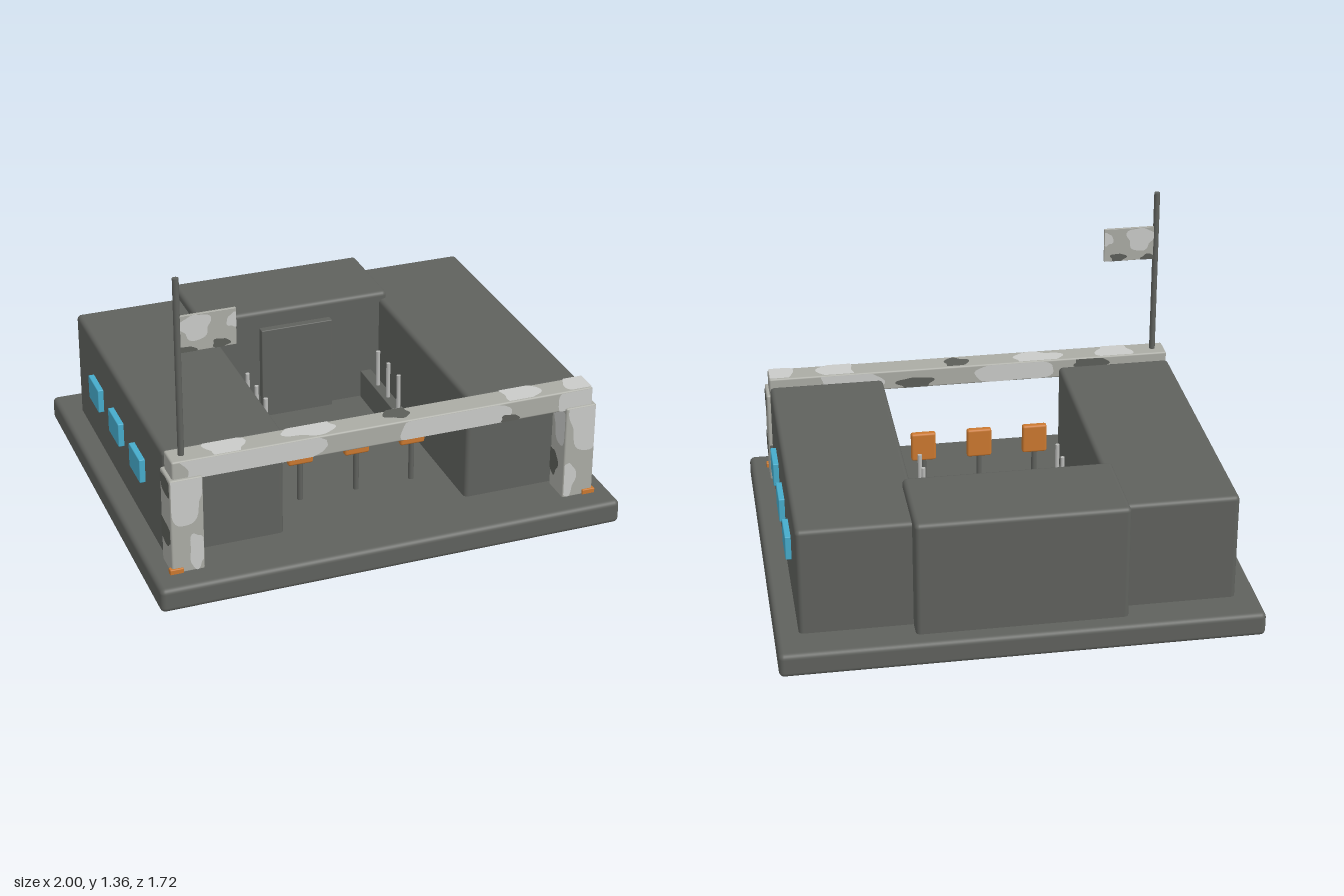
import * as THREE from 'three';
import { RoundedBoxGeometry } from 'three/addons/geometries/RoundedBoxGeometry.js';

const mat = (name, color, side = THREE.FrontSide) => {
  const m = new THREE.MeshStandardMaterial({ color, side });
  m.name = name;
  return m;
};

export function createModel() {
  const concrete = mat('dark concrete', 0x5f615d);
  const camoMid = mat('camo mid grey', 0xaaaba4);
  const camoLight = mat('camo light grey', 0xc9cac8);
  const camoDark = mat('camo dark grey', 0x5c5e59);
  const orange = mat('orange', 0xca782f);
  const blue = mat('window blue', 0x46abcb);
  const steel = mat('light steel', 0xb9bab8);

  const root = new THREE.Group();
  root.name = 'outpost';

  const add = (name, geometry, material, x, y, z, parent = root) => {
    const m = new THREE.Mesh(geometry, material);
    m.name = name;
    m.position.set(x, y, z);
    parent.add(m);
    return m;
  };
  // Rounded box given by its limits on each axis
  const block = (name, material, [x0, x1], [y0, y1], [z0, z1], r, parent = root) =>
    add(name, new RoundedBoxGeometry(x1 - x0, y1 - y0, z1 - z0, 3, r), material,
      (x0 + x1) / 2, (y0 + y1) / 2, (z0 + z1) / 2, parent);
  const rod = (name, material, r, x, y0, y1, z, parent = root) =>
    add(name, new THREE.CylinderGeometry(r, r, y1 - y0, 14), material, x, (y0 + y1) / 2, z, parent);

  // Wavy camouflage blob, clamped to the face it lies on
  const blob = (u, v, ru, rv, hw, hh, seed) => {
    const pts = [];
    for (let i = 0; i < 40; i++) {
      const a = (i / 40) * Math.PI * 2;
      const k = 1 + 0.13 * Math.sin(3 * a + seed) + 0.08 * Math.sin(5 * a + 2 * seed);
      pts.push(new THREE.Vector2(
        THREE.MathUtils.clamp(u + ru * k * Math.cos(a), -hw, hw),
        THREE.MathUtils.clamp(v + rv * k * Math.sin(a), -hh, hh)));
    }
    return new THREE.ShapeGeometry(new THREE.Shape(pts));
  };
  // Patches are [u, v, ru, rv, material] in each face's own axes
  const turns = {
    front: [0, 0], back: [0, Math.PI], right: [0, -Math.PI / 2],
    left: [0, Math.PI / 2], top: [-Math.PI / 2, 0],
  };
  const camoBox = (name, xs, ys, zs, r, patches) => {
    const g = new THREE.Group();
    g.name = name;
    root.add(g);
    const body = block(name + 'Body', camoMid, xs, ys, zs, r, g);
    const w = xs[1] - xs[0], h = ys[1] - ys[0], d = zs[1] - zs[0];
    for (const [face, list] of Object.entries(patches)) {
      const sideways = face === 'left' || face === 'right';
      const fw = sideways ? d : w, fh = face === 'top' ? d : h;
      const depth = face === 'top' ? h : sideways ? w : d;
      const holder = new THREE.Group();
      holder.name = name + 'Camo';
      holder.position.copy(body.position);
      holder.rotation.set(turns[face][0], turns[face][1], 0);
      g.add(holder);
      list.forEach(([u, v, ru, rv, m], i) =>
        add('camoPatch', blob(u, v, ru, rv, fw / 2 - r / 2, fh / 2 - r / 2, u * 9 + i), m,
          0, 0, depth / 2 + 0.0015 + i * 0.0007, holder));
    }
  };

  // Base slab and the three buildings around the yard
  block('baseSlab', concrete, [-1, 1], [0, 0.105], [-0.86, 0.86], 0.022);
  block('backBuilding', concrete, [-0.438, 0.438], [0.08, 0.61], [-0.787, -0.383], 0.02);
  block('door', concrete, [-0.165, 0.165], [0.1, 0.53], [-0.4, -0.35], 0.004);

  for (const s of [-1, 1]) {
    const range = (a, b) => (s > 0 ? [a, b] : [-b, -a]);
    block('sideBuilding', concrete, range(0.4, 0.905), [0.08, 0.577], [-0.705, 0.607], 0.02);
    for (const z of [0.27, -0.047, -0.365])
      block('window', blue, range(0.895, 0.93), [0.3, 0.407], [z - 0.078, z + 0.078], 0.004);

    // Rack with three upright rods
    block('rack', concrete, range(0.277, 0.327), [0.155, 0.285], [-0.29, 0.09], 0.003);
    for (const z of [-0.14, -0.02, 0.1]) rod('rackRod', steel, 0.009, s * 0.302, 0.16, 0.45, z);

    // Gate post and its orange foot marker
    const outer = [[0.01, 0.17, 0.08, 0.04, camoDark], [0.0, -0.05, 0.09, 0.05, camoDark]];
    const inner = [[0.02, 0.12, 0.06, 0.09, camoLight], [-0.03, -0.08, 0.04, 0.06, camoDark]];
    camoBox('gatePost', range(0.783, 0.92), [0.1, 0.525], [0.62, 0.75], 0.008, {
      front: [[s < 0 ? -0.01 : 0.03, 0.14, 0.08, 0.13, camoLight],
        [s < 0 ? 0.04 : -0.05, -0.12, 0.035, 0.08, camoLight]],
      back: [[0.02, 0.1, 0.05, 0.06, camoLight], [-0.03, -0.08, 0.05, 0.05, camoDark]],
      left: s > 0 ? outer : inner,
      right: s > 0 ? inner : outer,
    });
    block('footMarker', orange, range(0.873, 0.93), [0.1, 0.126], [0.732, 0.758], 0.004);
  }

  // Beam across the gate
  camoBox('gateBeam', [-0.905, 0.905], [0.51, 0.6], [0.63, 0.738], 0.008, {
    front: [[-0.6, 0, 0.29, 0.14, camoLight], [0.3, 0.01, 0.24, 0.09, camoLight],
      [0.85, 0.01, 0.1, 0.08, camoLight], [0.53, -0.03, 0.04, 0.02, camoDark]],
    back: [[-0.55, 0, 0.14, 0.07, camoLight], [0.2, 0.01, 0.18, 0.06, camoLight],
      [-0.25, -0.02, 0.08, 0.03, camoDark], [0.55, 0.02, 0.08, 0.03, camoDark]],
    top: [[-0.67, 0, 0.08, 0.08, camoLight], [-0.31, 0.02, 0.11, 0.06, camoLight],
      [0.6, 0, 0.08, 0.08, camoLight], [0.86, 0, 0.06, 0.08, camoLight],
      [0.06, 0.015, 0.055, 0.045, camoDark]],
  });

  // Flagpole and flag
  rod('flagpole', concrete, 0.013, -0.85, 0.59, 1.36, 0.685);
  const flagPatches = (m) => [[m * -0.05, 0.025, 0.06, 0.055, camoLight],
    [m * 0.05, -0.06, 0.035, 0.02, camoDark], [m * -0.09, -0.07, 0.04, 0.018, camoDark],
    [m * 0.1, 0.03, 0.025, 0.03, camoLight]];
  camoBox('flag', [-0.842, -0.615], [1.045, 1.2], [0.679, 0.691], 0.002,
    { front: flagPatches(1), back: flagPatches(-1) });

  // Practice targets on stakes
  for (const x of [-0.25, 0, 0.25]) {
    rod('targetStake', concrete, 0.012, x, 0.09, 0.3, 0.38);
    block('targetBoard', orange, [x - 0.055, x + 0.055], [0.277, 0.41], [0.364, 0.396], 0.01);
  }
  return root;
}
